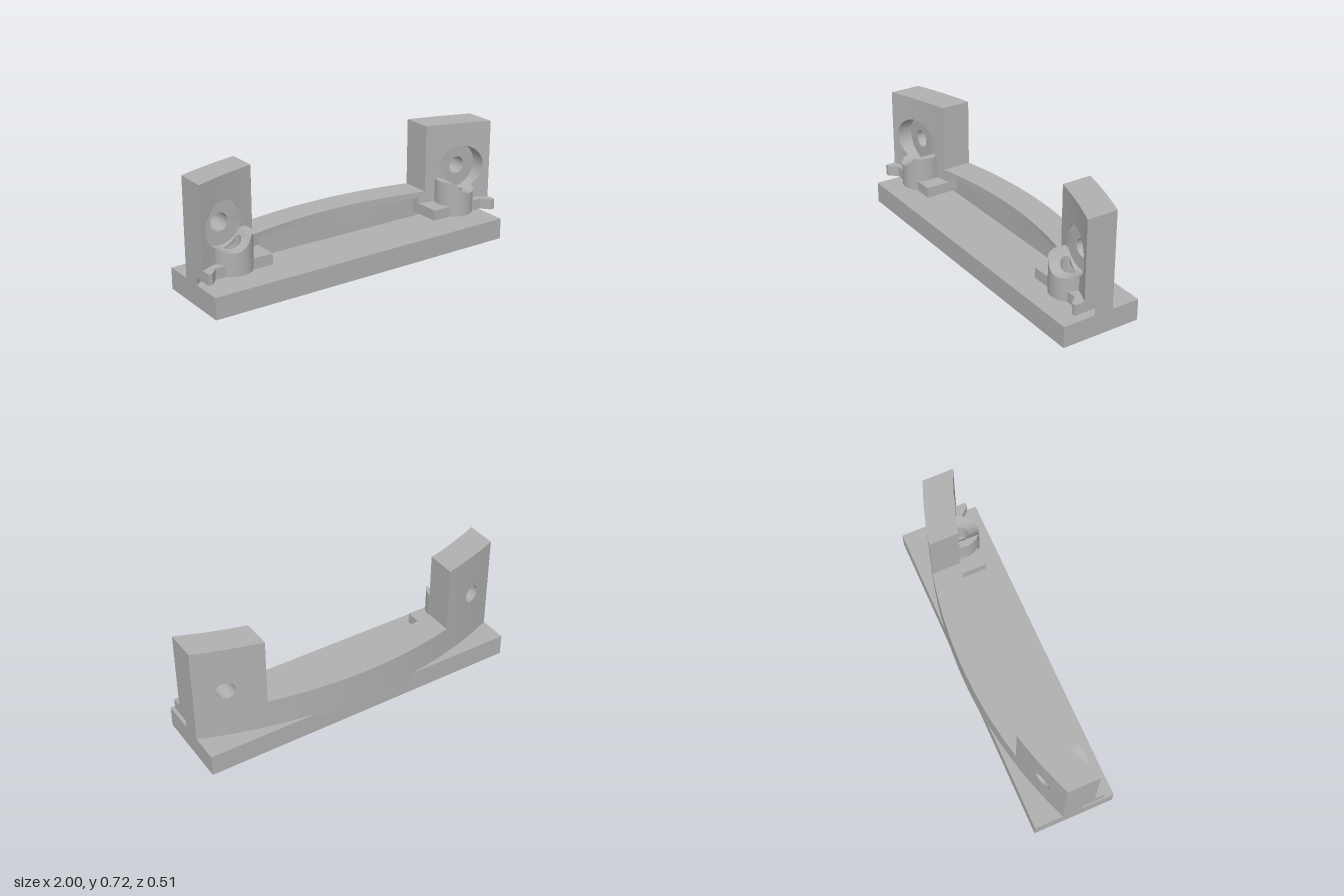
import * as THREE from 'three';
import { toCreasedNormals } from 'three/addons/utils/BufferGeometryUtils.js';

const grey = new THREE.MeshStandardMaterial({ color: 0xb0b0b0 });
grey.name = 'grey';

// Concentric arcs of the curved wall
const arc = (r, x) => 2.434 - Math.sqrt(r * r - x * x);
const inner = x => arc(2.514, x);
const outer = x => arc(2.69, x);

// Bolt hole in each tower, upright socket in front of it
const BOLT = { x: 0.83, y: 0.445, r: 0.053, bore: 0.134, floor: 0.02 };
const SOCKET = { x: 0.78, z: 0.06, r: 0.053, R: 0.118 };

function add(group, name, geometry) {
  const mesh = new THREE.Mesh(geometry, grey);
  mesh.name = name;
  group.add(mesh);
}

// Horizontal slice of the wall: front is a list of [x, z] from x = 0 to x = 1, mirrored
function slice(front, y0, y1, holes = false) {
  const half = front.filter(p => p[0] > 0);
  const pts = [...half.map(([x, z]) => [-x, z]).reverse(), ...front];
  for (let i = 0; i <= 64; i++) {
    const x = 1 - i / 32;
    pts.push([x, outer(x)]);
  }
  const shape = new THREE.Shape(pts.map(([x, z]) => new THREE.Vector2(x, -z)));
  if (holes) for (const s of [-1, 1]) {
    const hole = new THREE.Path();
    hole.absarc(s * SOCKET.x, -SOCKET.z, SOCKET.r, 0, Math.PI * 2, true);
    shape.holes.push(hole);
  }
  const g = new THREE.ExtrudeGeometry(shape, { depth: y1 - y0, bevelEnabled: false, curveSegments: 16 });
  g.rotateX(-Math.PI / 2).translate(0, y0, 0);
  return toCreasedNormals(g, 0.4);
}

// Curved front edge, notched by the socket bore
function curvedFront(from = 0) {
  const pts = [];
  for (let i = 0; i <= 100; i++) {
    const x = i / 100;
    if (x < from) continue;
    const d = x - SOCKET.x;
    const notch = Math.abs(d) < SOCKET.r ? SOCKET.z - Math.sqrt(SOCKET.r ** 2 - d * d) : 1;
    pts.push([x, Math.min(inner(x), notch)]);
  }
  return pts;
}

// Flat recess between the plates, just touched by the arc in the middle
function recess(depth, end) {
  const pts = [];
  for (let i = 0; i <= 12; i++) {
    const x = end * i / 12;
    pts.push([x, Math.min(inner(x), depth)]);
  }
  return pts;
}

// Tower with counterbored hole, skinned as a closed chain of rings
function tower(s) {
  const [x0, x1, y0, y1] = [0.61, 1, 0.308, 0.722];
  const n = 14, rim = [];
  const corners = [[x0, y0], [x1, y0], [x1, y1], [x0, y1]];
  corners.forEach((a, k) => {
    const b = corners[(k + 1) % 4];
    for (let i = 0; i < n; i++) rim.push([a[0] + (b[0] - a[0]) * i / n, a[1] + (b[1] - a[1]) * i / n]);
  });
  const circle = r => rim.map(([x, y]) => {
    const a = Math.atan2(y - BOLT.y, x - BOLT.x);
    return [BOLT.x + r * Math.cos(a), BOLT.y + r * Math.sin(a)];
  });
  const mix = (A, B, t) => A.map((p, i) => [p[0] + (B[i][0] - p[0]) * t, p[1] + (B[i][1] - p[1]) * t]);
  const lift = (ring, f) => ring.map(([x, y]) => [x * s, y, f(x)]);
  const floor = x => Math.min(BOLT.floor, inner(x));
  const bore = circle(BOLT.bore), hole = circle(BOLT.r);
  const rings = [];
  for (let i = 0; i <= 4; i++) rings.push(lift(mix(rim, bore, i / 4), inner));
  rings.push(lift(bore, floor), lift(hole, floor));
  for (let i = 0; i <= 5; i++) rings.push(lift(mix(hole, rim, i / 5), outer));
  rings.push(rings[0]);

  const pos = [], N = rim.length;
  for (let k = 0; k + 1 < rings.length; k++) for (let i = 0; i < N; i++) {
    const j = (i + 1) % N;
    const a = rings[k][i], b = rings[k][j], c = rings[k + 1][j], d = rings[k + 1][i];
    const tris = s > 0 ? [a, b, c, a, c, d] : [a, c, b, a, d, c];
    pos.push(...tris.flat());
  }
  const g = new THREE.BufferGeometry();
  g.setAttribute('position', new THREE.Float32BufferAttribute(pos, 3));
  return toCreasedNormals(g, 0.4);
}

// Hollow upright socket whose top is scooped by the counterbore
function socket(s) {
  const top = 0.387, bottom = 0.175, profile = [new THREE.Vector2(SOCKET.R, bottom)];
  for (let i = 0; i <= 6; i++) profile.push(new THREE.Vector2(SOCKET.R + (SOCKET.r - SOCKET.R) * i / 6, top));
  profile.push(new THREE.Vector2(SOCKET.r, bottom), new THREE.Vector2(SOCKET.R, bottom));
  const g = new THREE.LatheGeometry(profile, 48);
  g.translate(s * SOCKET.x, 0, SOCKET.z);
  const p = g.attributes.position;
  for (let i = 0; i < p.count; i++) {
    if (p.getY(i) < 0.3) continue;
    const d = p.getX(i) * s - BOLT.x;
    const cut = Math.abs(d) < BOLT.bore ? BOLT.y - Math.sqrt(BOLT.bore ** 2 - d * d) : top;
    p.setY(i, Math.min(top, cut));
  }
  g.deleteAttribute('uv');
  return toCreasedNormals(g, 0.4);
}

export function createModel() {
  const model = new THREE.Group();
  model.name = 'curvedBracket';

  const base = new THREE.BoxGeometry(2, 0.13, 0.493);
  base.translate(0, 0.065, 0.0095);
  add(model, 'base', base);

  // Wall slices from bottom to top
  add(model, 'slottedWall', slice(
    [...recess(-0.09, 0.64), [0.67, 0], [0.93, 0], [1, 0.057]], 0.095, 0.175));
  add(model, 'clipPlates', slice(
    [...recess(-0.07, 0.57), [0.57, 0.14], [0.93, 0.14], [0.975, 0.19], [1, 0.19]], 0.175, 0.24, true));
  add(model, 'recessedWall', slice([...recess(-0.07, 0.57), ...curvedFront(0.57)], 0.24, 0.275));
  add(model, 'curvedRail', slice(curvedFront(), 0.275, 0.311));

  for (const s of [-1, 1]) {
    const side = s > 0 ? 'left' : 'right';
    add(model, side + 'Tower', tower(s));
    add(model, side + 'Socket', socket(s));
  }
  return model;
}
